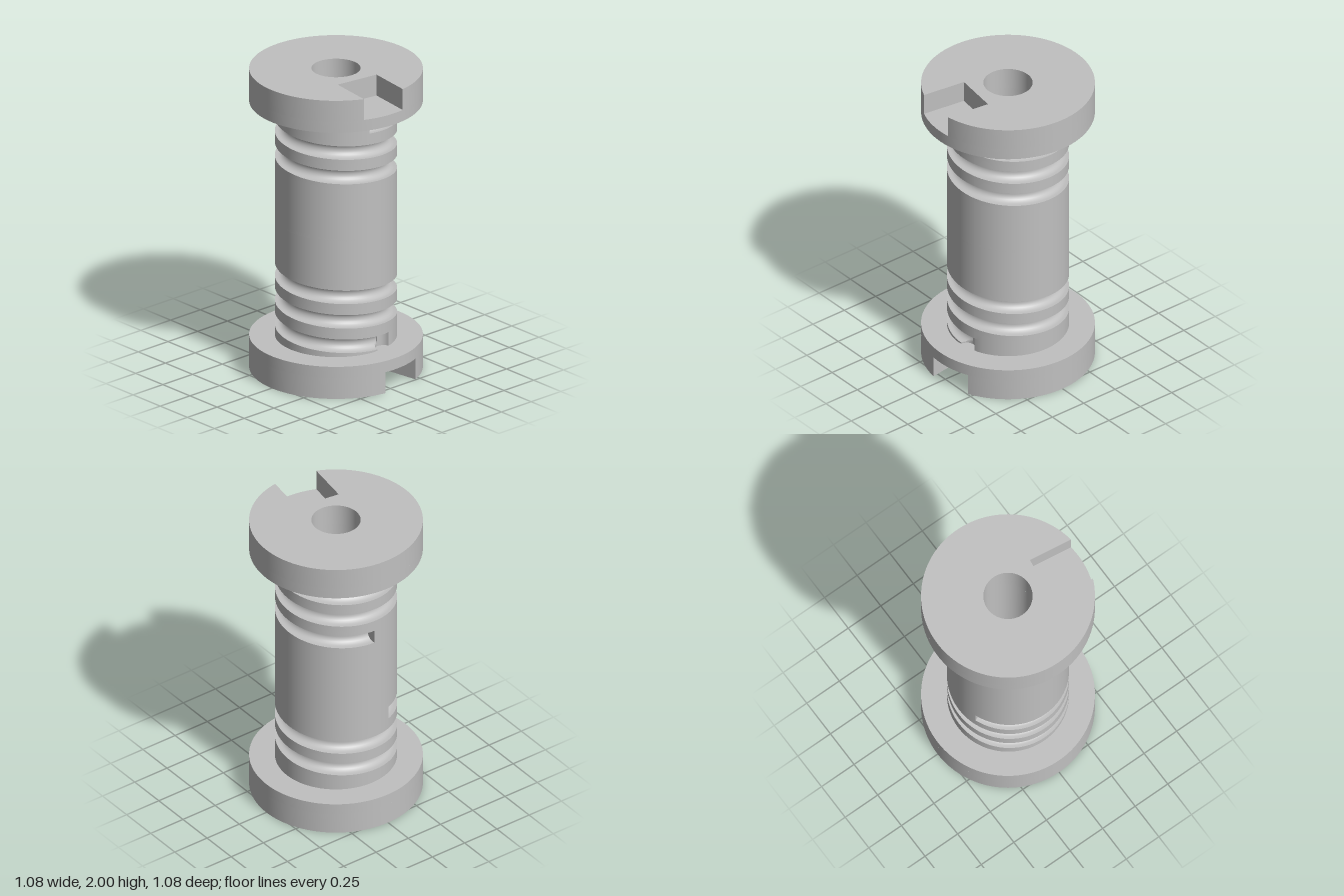
import * as THREE from 'three';
import { toCreasedNormals } from 'three/addons/utils/BufferGeometryUtils.js';

const RAD = Math.PI / 180;
const CORE_R = 0.38, FLANGE_R = 0.54, BORE_R = 0.153;
const FLANGE_H = 0.215, SLOT_DEPTH = 0.14, HEIGHT = 2;
const PITCH = 0.164, GROOVE_R = 0.045, GROOVE_CENTRE = 0.362;
const POCKET = { angle: 9, radius: 0.055, distance: 0.38 };
const POCKET_HALF = Math.asin(POCKET.radius / POCKET.distance) / RAD;

// Smooth curves with sharp edges; scaled up so small details stay distinct
function crease(geometry) {
  geometry.scale(100, 100, 100);
  const result = toCreasedNormals(geometry, 32 * RAD);
  return result.scale(0.01, 0.01, 0.01);
}

// One pitch of the core: land, round-bottomed groove, land, as [height, radius]
function grooveProfile() {
  const points = [[-PITCH / 2, CORE_R], [-GROOVE_R, CORE_R]];
  for (let i = 0; i <= 12; i++) {
    const a = (i / 12 - 0.5) * Math.PI;
    points.push([GROOVE_R * Math.sin(a), GROOVE_CENTRE - GROOVE_R * Math.cos(a)]);
  }
  points.push([GROOVE_R, CORE_R], [PITCH / 2, CORE_R]);
  return points;
}

// Angles of one turn, finer across the pocket
function turnAngles() {
  const angles = [];
  for (let i = 0; i <= 16; i++) {
    angles.push(POCKET.angle - POCKET_HALF * Math.cos((i / 16) * Math.PI));
  }
  const start = POCKET.angle + POCKET_HALF, sweep = 360 - 2 * POCKET_HALF;
  for (let i = 1; i < 84; i++) angles.push(start + (sweep * i) / 84);
  return angles;
}

// Radius of the pocket's back wall along a ray at the given angle
function pocketRadius(degrees) {
  const offset = (((degrees - POCKET.angle + 180) % 360) + 360) % 360 - 180;
  if (Math.abs(offset) > POCKET_HALF + 1e-6) return CORE_R;
  const a = offset * RAD, side = POCKET.distance * Math.sin(a);
  return POCKET.distance * Math.cos(a) - Math.sqrt(Math.max(0, POCKET.radius ** 2 - side ** 2));
}

// Half of the core, wound as a helical strip one pitch tall
function grooveCore({ y0, from, to, firstTurn, lastTurn, low, high, pocket }) {
  const profile = grooveProfile(), angles = turnAngles();
  const stops = [from, to];
  for (let t = firstTurn; t <= lastTurn; t++) {
    for (const a of angles) {
      const s = a + t * 360;
      if (Math.abs(s - from) > 1e-3 && Math.abs(s - to) > 1e-3) stops.push(s);
    }
  }
  stops.sort((a, b) => a - b);

  // The groove's ends get two columns at one angle, which makes the end walls
  const columns = [];
  for (const s of stops) {
    if (s === from) columns.push([s, false], [s, true]);
    else if (s === to) columns.push([s, true], [s, false]);
    else columns.push([s, s > from && s < to]);
  }

  const positions = [], index = [], n = profile.length;
  columns.forEach(([s, cut], i) => {
    const x = Math.sin(s * RAD), z = Math.cos(s * RAD);
    profile.forEach(([v, depth], j) => {
      let r = cut ? depth : CORE_R;
      if (pocket && s > -2 && (s > 90 || j < n - 2)) r = Math.min(r, pocketRadius(s));
      const y = THREE.MathUtils.clamp(y0 - (PITCH * s) / 360 + v, low, high);
      positions.push(r * x, y, r * z);
      if (i && j) {
        const a = (i - 1) * n + j - 1, b = i * n + j - 1;
        index.push(a, b, b + 1, a, b + 1, a + 1);
      }
    });
  });
  const geometry = new THREE.BufferGeometry();
  geometry.setAttribute('position', new THREE.Float32BufferAttribute(positions, 3));
  geometry.setIndex(index);
  return crease(geometry);
}

// Ring plate standing on y = 0, with an optional slot open towards +z
function ringPlate(height, slotted) {
  const shape = new THREE.Shape(), half = 0.146, inner = 0.232;
  if (slotted) {
    const a = Math.asin(half / FLANGE_R);
    shape.absarc(0, 0, FLANGE_R, -Math.PI / 2 + a, 1.5 * Math.PI - a, false);
    shape.lineTo(-half, -inner);
    shape.lineTo(half, -inner);
    shape.closePath();
  } else {
    shape.absarc(0, 0, FLANGE_R, 0, Math.PI * 2, false);
  }
  const hole = new THREE.Path();
  hole.absarc(0, 0, BORE_R, 0, Math.PI * 2, true);
  shape.holes.push(hole);
  const geometry = new THREE.ExtrudeGeometry(shape, {
    depth: height, bevelEnabled: false, curveSegments: 96,
  });
  return crease(geometry.rotateX(-Math.PI / 2));
}

export function createModel() {
  const model = new THREE.Group();
  model.name = 'groovedSpool';
  const metal = new THREE.MeshStandardMaterial({ color: 0xc0c0c0 });
  metal.name = 'grey metal';

  const add = (name, geometry, y = 0, turn = 0) => {
    const mesh = new THREE.Mesh(geometry, metal);
    mesh.name = name;
    mesh.position.y = y;
    mesh.rotation.y = turn * RAD;
    model.add(mesh);
  };

  // Flanges, each with a slot in its outer face
  const solid = FLANGE_H - SLOT_DEPTH;
  add('bottomFlangeSlotted', ringPlate(SLOT_DEPTH, true), 0, 8);
  add('bottomFlange', ringPlate(solid, false), SLOT_DEPTH);
  add('topFlange', ringPlate(solid, false), HEIGHT - FLANGE_H);
  add('topFlangeSlotted', ringPlate(SLOT_DEPTH, true), HEIGHT - SLOT_DEPTH, -8);

  // Core with a helical groove near each end
  add('lowerCore', grooveCore({
    y0: 0.27, from: -878, to: 9, firstTurn: -6, lastTurn: 1,
    low: FLANGE_H, high: 1, pocket: true,
  }));
  add('upperCore', grooveCore({
    y0: 1.73, from: -9, to: 902, firstTurn: -2, lastTurn: 6,
    low: 1, high: HEIGHT - FLANGE_H, pocket: false,
  }));

  // Bore wall, turned inside out
  const bore = new THREE.CylinderGeometry(BORE_R, BORE_R, HEIGHT - 2 * FLANGE_H, 96, 1, true);
  add('bore', crease(bore.scale(-1, 1, 1)), HEIGHT / 2);

  return model;
}
